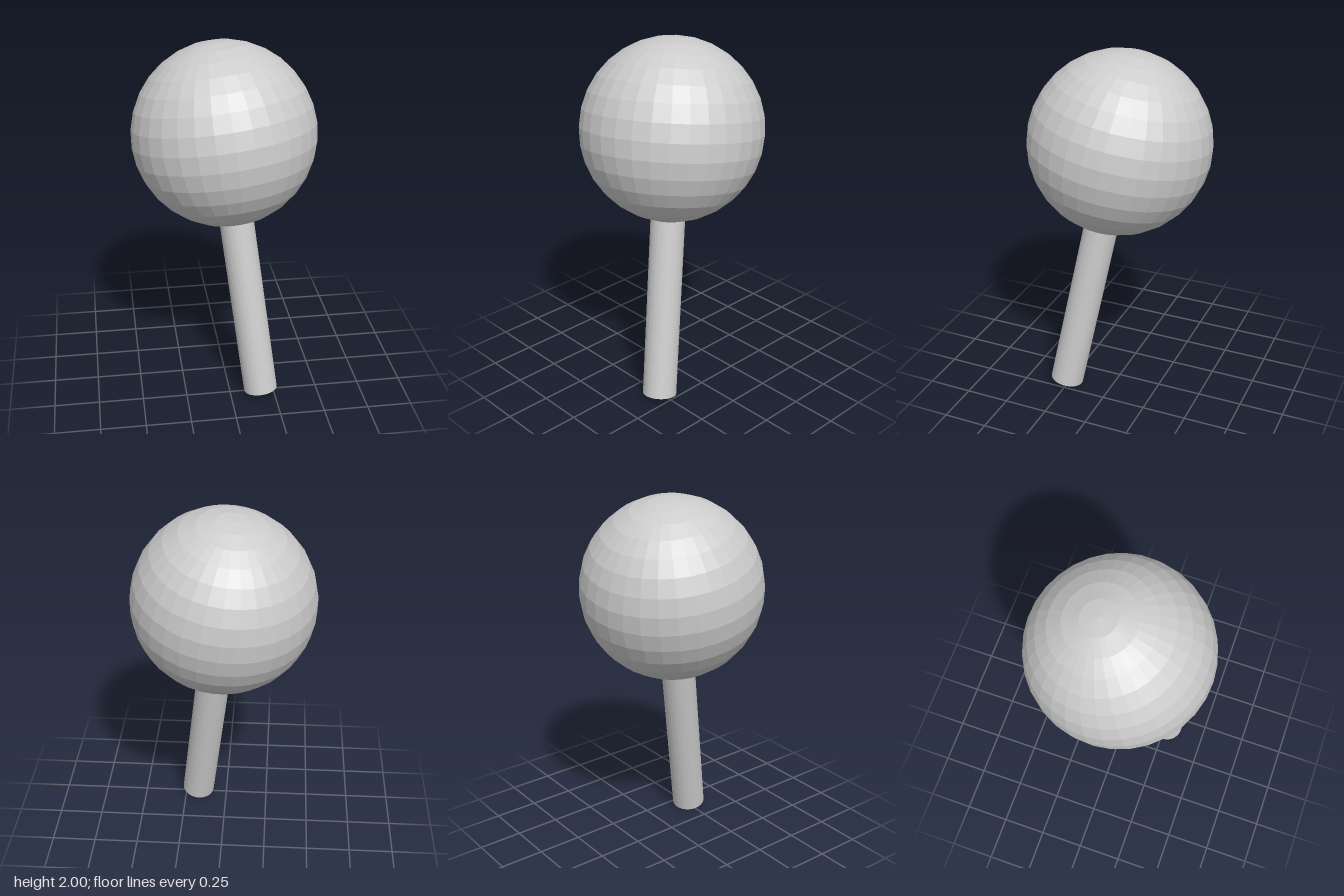
import * as THREE from 'three';

export function createModel() {
  const model = new THREE.Group();
  const material = new THREE.MeshStandardMaterial({ color: 0xcccccc, flatShading: true });

  // The whole lollipop shape leans along one axis through the ball's centre
  const foot = new THREE.Vector3(0.175, 0.022, 0.265);
  const centre = new THREE.Vector3(0, 1.5, 0);
  const length = foot.distanceTo(centre);
  const axis = centre.clone().sub(foot).normalize();

  const tilted = new THREE.Group();
  tilted.name = 'tiltedBallOnStick';
  tilted.position.copy(centre);
  tilted.quaternion.setFromUnitVectors(new THREE.Vector3(0, 1, 0), axis);
  model.add(tilted);

  // Faceted ball
  const ball = new THREE.Mesh(new THREE.SphereGeometry(0.5, 32, 16), material);
  ball.name = 'ball';
  tilted.add(ball);

  // Stick, its upper end sunk into the ball
  const stickLength = length - 0.4;
  const stick = new THREE.Mesh(new THREE.CylinderGeometry(0.095, 0.095, stickLength, 32), material);
  stick.name = 'stick';
  stick.position.y = -length + stickLength / 2;
  tilted.add(stick);

  return model;
}
